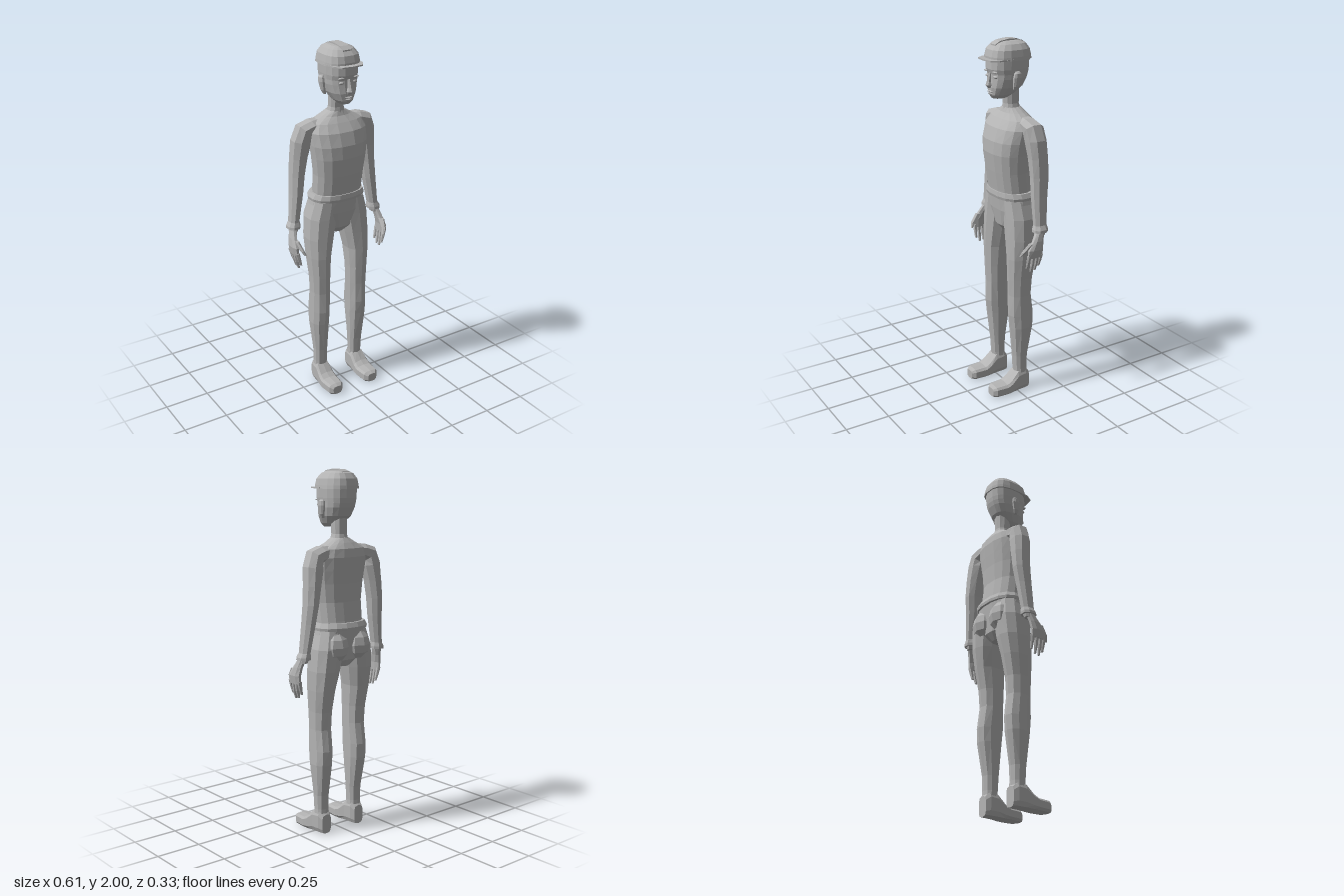
import * as THREE from 'three';

const DEG = Math.PI / 180;

// Ring across the y direction: centre x, height, half width, front z, back z.
const level = (x, y, hx, zf, zb) => [x, y, (zf + zb) / 2, hx, (zf - zb) / 2, 0];

// Skin closed rings [x, y, z, a, b, tilt]; tilt turns the a axis from x towards y.
// With alongZ the rings stand upright instead: a is half width, b is half height.
function loft(rings, sides, power = 0.85, alongZ = false) {
  const pos = [], idx = [];
  const bend = v => Math.sign(v) * Math.abs(v) ** power;
  rings.forEach(([x, y, z, a, b, tilt = 0]) => {
    for (let j = 0; j < sides; j++) {
      const t = ((j + 0.5) / sides) * Math.PI * 2;
      const u = a * bend(Math.cos(t)), v = b * bend(Math.sin(t));
      if (alongZ) pos.push(x + u, y + v, z);
      else pos.push(x + u * Math.cos(tilt * DEG), y + u * Math.sin(tilt * DEG), z + v);
    }
  });
  for (let i = 0; i < rings.length - 1; i++) {
    for (let j = 0; j < sides; j++) {
      const k = (j + 1) % sides, p = i * sides, q = p + sides;
      idx.push(p + j, q + j, p + k, p + k, q + j, q + k);
    }
  }
  // End caps
  const last = (rings.length - 1) * sides;
  for (let j = 1; j < sides - 1; j++) {
    idx.push(0, j, j + 1, last, last + j + 1, last + j);
  }
  const g = new THREE.BufferGeometry();
  g.setAttribute('position', new THREE.Float32BufferAttribute(pos, 3));
  g.setIndex(idx);
  g.computeVertexNormals();
  return g;
}

function mirrored(geometry) {
  const g = geometry.clone().scale(-1, 1, 1), ix = g.index.array;
  for (let i = 0; i < ix.length; i += 3) [ix[i], ix[i + 1]] = [ix[i + 1], ix[i]];
  g.computeVertexNormals();
  return g;
}

function ball(x, y, z, rx, ry, rz) {
  return new THREE.SphereGeometry(1, 8, 6).scale(rx, ry, rz).translate(x, y, z);
}

export function createModel() {
  const model = new THREE.Group();
  model.name = 'standingFigure';
  const grey = new THREE.MeshStandardMaterial({ color: 0xb4b4b4, flatShading: true });
  grey.name = 'plain grey';

  const add = (name, geometry) => {
    const mesh = new THREE.Mesh(geometry, grey);
    mesh.name = name;
    model.add(mesh);
  };
  const pair = (name, geometry) => {
    add(name + 'Left', geometry);
    add(name + 'Right', mirrored(geometry));
  };

  // Torso and neck
  add('torso', loft([
    level(0, 1.16, 0.138, 0.06, -0.14), level(0, 1.2, 0.14, 0.065, -0.132),
    level(0, 1.3, 0.143, 0.08, -0.12), level(0, 1.4, 0.155, 0.093, -0.125),
    level(0, 1.47, 0.165, 0.09, -0.132), level(0, 1.54, 0.17, 0.068, -0.138),
    level(0, 1.585, 0.15, 0.035, -0.13), level(0, 1.615, 0.09, 0.01, -0.11),
    level(0, 1.64, 0.048, 0, -0.09),
  ], 16));
  add('neck', loft([
    level(0, 1.61, 0.055, 0.005, -0.095), level(0, 1.66, 0.04, 0, -0.082),
    level(0, 1.75, 0.042, 0.01, -0.085),
  ], 10));

  // Shirt hem and trousers
  add('shirtHem', loft([
    level(0, 1.15, 0.16, 0.068, -0.158), level(0, 1.165, 0.163, 0.072, -0.16),
    level(0, 1.19, 0.152, 0.07, -0.148),
  ], 16));
  add('pelvis', loft([
    level(0, 0.945, 0.04, 0, -0.1), level(0, 0.985, 0.1, 0.035, -0.13),
    level(0, 1.08, 0.17, 0.052, -0.138), level(0, 1.16, 0.155, 0.06, -0.145),
  ], 16));
  pair('buttock', ball(0.076, 1.06, -0.1, 0.078, 0.085, 0.068));
  pair('leg', loft([
    level(0.118, 0.07, 0.042, 0.005, -0.073), level(0.118, 0.14, 0.038, 0.01, -0.068),
    level(0.118, 0.22, 0.04, 0.015, -0.07), level(0.123, 0.4, 0.052, 0.035, -0.1),
    level(0.122, 0.48, 0.052, 0.044, -0.105), level(0.12, 0.6, 0.053, 0.042, -0.088),
    level(0.121, 0.7, 0.056, 0.046, -0.095), level(0.122, 0.82, 0.064, 0.05, -0.12),
    level(0.113, 0.93, 0.078, 0.05, -0.14), level(0.098, 1.05, 0.086, 0.05, -0.148),
    level(0.08, 1.15, 0.075, 0.05, -0.13),
  ], 10));

  // Shoes, from toe to heel
  pair('shoe', loft([
    [0.12, 0.03, 0.165, 0.028, 0.025], [0.12, 0.033, 0.145, 0.046, 0.033],
    [0.12, 0.034, 0.075, 0.053, 0.034], [0.12, 0.042, 0.045, 0.051, 0.042],
    [0.119, 0.065, 0, 0.045, 0.065], [0.118, 0.068, -0.05, 0.043, 0.068],
    [0.118, 0.055, -0.076, 0.032, 0.055],
  ], 10, 0.55, true));

  // Sleeves, from wrist up and over the shoulder
  pair('arm', loft([
    [0.264, 0.99, -0.057, 0.022, 0.03], [0.258, 1.03, -0.062, 0.027, 0.036],
    [0.235, 1.2, -0.07, 0.036, 0.045], [0.225, 1.3, -0.077, 0.04, 0.051],
    [0.213, 1.4, -0.075, 0.047, 0.053], [0.2, 1.49, -0.068, 0.055, 0.056, 10],
    [0.185, 1.545, -0.062, 0.052, 0.056, 45], [0.14, 1.56, -0.058, 0.045, 0.055, 75],
    [0.08, 1.57, -0.06, 0.035, 0.042, 90],
  ], 8));
  pair('cuff', loft([
    [0.262, 1.008, -0.06, 0.037, 0.043], [0.261, 1.022, -0.061, 0.037, 0.043],
    [0.256, 1.045, -0.063, 0.028, 0.037],
  ], 8));

  // Hands: palm, four fingers and a thumb
  pair('palm', loft([
    [0.284, 0.875, -0.016, 0.013, 0.046], [0.287, 0.92, -0.016, 0.017, 0.046],
    [0.28, 0.965, -0.035, 0.018, 0.034], [0.268, 1.01, -0.055, 0.019, 0.025],
  ], 8));
  for (let i = 0; i < 4; i++) {
    const z = 0.02 - i * 0.024, tip = [0.815, 0.79, 0.795, 0.815][i];
    pair('finger' + (i + 1), loft([
      [0.266, tip, z + 0.004, 0.006, 0.007], [0.277, tip + 0.04, z + 0.002, 0.01, 0.011],
      [0.285, 0.89, z, 0.012, 0.013],
    ], 6));
  }
  pair('thumb', loft([
    [0.256, 0.885, 0.058, 0.006, 0.007], [0.268, 0.91, 0.044, 0.011, 0.013],
    [0.28, 0.955, 0, 0.013, 0.022],
  ], 6));

  // Head
  add('head', loft([
    level(0, 1.695, 0.03, 0.072, -0.01), level(0, 1.715, 0.05, 0.086, -0.05),
    level(0, 1.755, 0.074, 0.09, -0.098), level(0, 1.8, 0.086, 0.086, -0.12),
    level(0, 1.825, 0.088, 0.086, -0.128), level(0, 1.85, 0.091, 0.094, -0.132),
    level(0, 1.91, 0.093, 0.092, -0.135),
  ], 16, 0.8));
  add('nose', loft([
    level(0, 1.753, 0.011, 0.1, 0.07), level(0, 1.768, 0.017, 0.115, 0.07),
    level(0, 1.785, 0.011, 0.108, 0.07), level(0, 1.83, 0.008, 0.094, 0.07),
  ], 6));
  add('upperLip', ball(0, 1.734, 0.083, 0.025, 0.006, 0.014));
  add('lowerLip', ball(0, 1.723, 0.082, 0.021, 0.006, 0.013));
  pair('eye', ball(0.038, 1.812, 0.076, 0.017, 0.008, 0.011));
  pair('brow', ball(0.04, 1.838, 0.082, 0.023, 0.005, 0.01));
  pair('ear', loft([
    level(0.087, 1.745, 0.008, 0, -0.02), level(0.095, 1.765, 0.011, 0.004, -0.03),
    level(0.101, 1.81, 0.014, 0.006, -0.042), level(0.101, 1.833, 0.013, 0, -0.04),
    level(0.098, 1.842, 0.007, -0.01, -0.032),
  ], 8));

  // Cap: crown, brim and raised centre strip
  add('capCrown', loft([
    level(0, 1.897, 0.1, 0.097, -0.141), level(0, 1.915, 0.098, 0.097, -0.14),
    level(0, 1.95, 0.092, 0.088, -0.132), level(0, 1.978, 0.072, 0.062, -0.112),
    level(0, 1.99, 0.045, 0.035, -0.085), level(0, 1.993, 0.015, 0, -0.045),
  ], 16, 0.72));

  const brim = new THREE.Shape();
  brim.moveTo(-0.099, 0);
  [[-0.088, 0.08], [-0.062, 0.121], [0, 0.13], [0.062, 0.121], [0.088, 0.08], [0.099, 0]]
    .forEach(p => brim.lineTo(...p));
  add('capBrim', new THREE.ExtrudeGeometry(brim, { depth: 0.007, bevelEnabled: false })
    .rotateX(Math.PI / 2).translate(0, 1.905, 0));

  const strip = new THREE.Shape();
  strip.moveTo(0.068, 1.96);
  [[0.068, 1.977], [0.04, 1.993], [-0.01, 2], [-0.06, 1.999], [-0.1, 1.985], [-0.1, 1.965]]
    .forEach(p => strip.lineTo(...p));
  add('capStrip', new THREE.ExtrudeGeometry(strip, { depth: 0.05, bevelEnabled: false })
    .translate(0, 0, -0.025).rotateY(-Math.PI / 2));

  return model;
}
